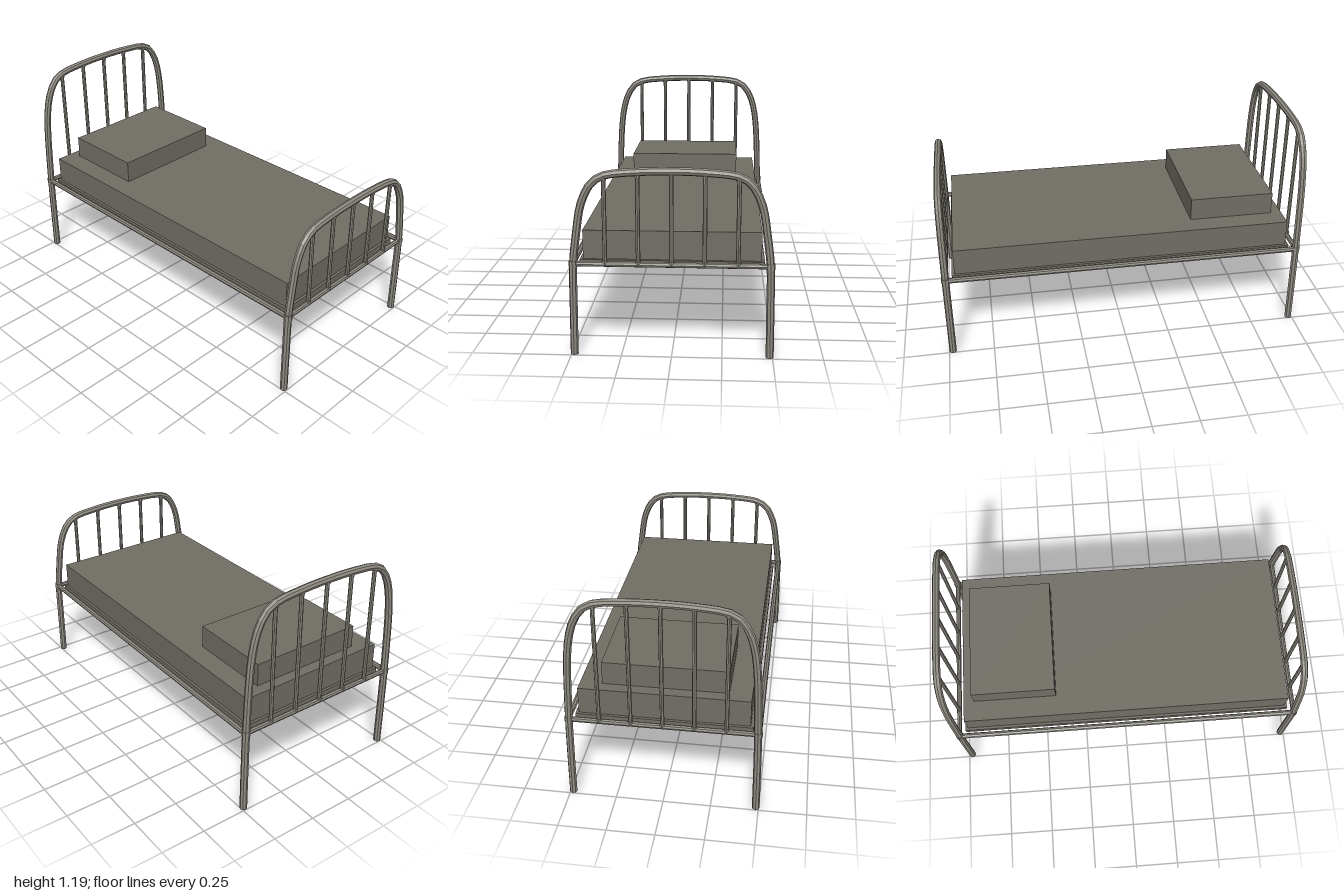
import * as THREE from 'three';

export function createModel() {
  const bed = new THREE.Group();
  bed.name = 'bed';
  const metal = new THREE.MeshStandardMaterial({ color: 0x8f8b82, flatShading: true });
  metal.name = 'grey metal';
  const fabric = new THREE.MeshStandardMaterial({ color: 0x716e65 });
  fabric.name = 'dull grey fabric';

  const add = (parent, name, geometry, material, x = 0, y = 0, z = 0) => {
    const mesh = new THREE.Mesh(geometry, material);
    mesh.name = name;
    mesh.position.set(x, y, z);
    parent.add(mesh);
    return mesh;
  };

  // Box given by its limits, centred on z
  const slab = (name, x0, x1, y0, y1, depth) =>
    add(bed, name, new THREE.BoxGeometry(x1 - x0, y1 - y0, depth), fabric,
      (x0 + x1) / 2, (y0 + y1) / 2, 0);

  const rod = (parent, name, radius, length, x, y, z) =>
    add(parent, name, new THREE.CylinderGeometry(radius, radius, length, 8), metal, x, y, z);

  const railY = 0.472;

  // One bent tube with legs, crossbar and spindles; drop lowers the arch
  function endFrame(name, x, drop) {
    const frame = new THREE.Group();
    frame.name = name;
    frame.position.x = x;
    bed.add(frame);

    const half = [
      [0.486, 0], [0.484, 0.25], [0.48, 0.48],
      [0.462, 0.86 - drop], [0.442, 0.985 - drop], [0.418, 1.055 - drop],
      [0.38, 1.115 - drop], [0.326, 1.148 - drop], [0.17, 1.167 - drop],
    ];
    const points = [
      ...half,
      [0, 1.172 - drop],
      ...half.slice().reverse().map(([z, y]) => [-z, y]),
    ].map(([z, y]) => new THREE.Vector3(0, y, z));
    const curve = new THREE.CatmullRomCurve3(points);
    add(frame, 'bentTube', new THREE.TubeGeometry(curve, 56, 0.02, 8), metal);

    // Leg ends and rail joints
    for (const side of [-1, 1]) {
      const foot = add(frame, 'legEnd', new THREE.CircleGeometry(0.02, 8), metal, 0, 0.001, side * 0.486);
      foot.rotation.x = Math.PI / 2;
      rod(frame, 'railJoint', 0.0225, 0.03, 0, railY, side * 0.481);
    }

    rod(frame, 'crossbar', 0.014, 0.96, 0, railY, 0).rotation.x = Math.PI / 2;

    // Spindles with small collars at the crossbar
    const tops = [1.172, 1.167, 1.148];
    for (let i = -2; i <= 2; i++) {
      const top = tops[Math.abs(i)] - drop;
      const z = i * 0.162;
      rod(frame, 'spindle', 0.011, top - railY, 0, (top + railY) / 2, z);
      rod(frame, 'spindleCollar', 0.0145, 0.02, 0, railY + 0.008, z);
      rod(frame, 'spindleCollar', 0.0145, 0.036, 0, top - 0.005, z);
    }
  }
  endFrame('headboard', -0.98, 0);
  endFrame('footboard', 0.98, 0.235);

  // Long rails
  for (const side of [-1, 1]) {
    rod(bed, 'sideRail', 0.015, 1.96, 0, railY, side * 0.484).rotation.z = Math.PI / 2;
  }

  // Base and bedding
  slab('bedBase', -0.945, 0.945, 0.448, 0.482, 0.91);
  slab('mattress', -0.93, 0.93, 0.482, 0.628, 0.88);
  slab('pillow', -0.87, -0.4, 0.628, 0.754, 0.65);

  return bed;
}
